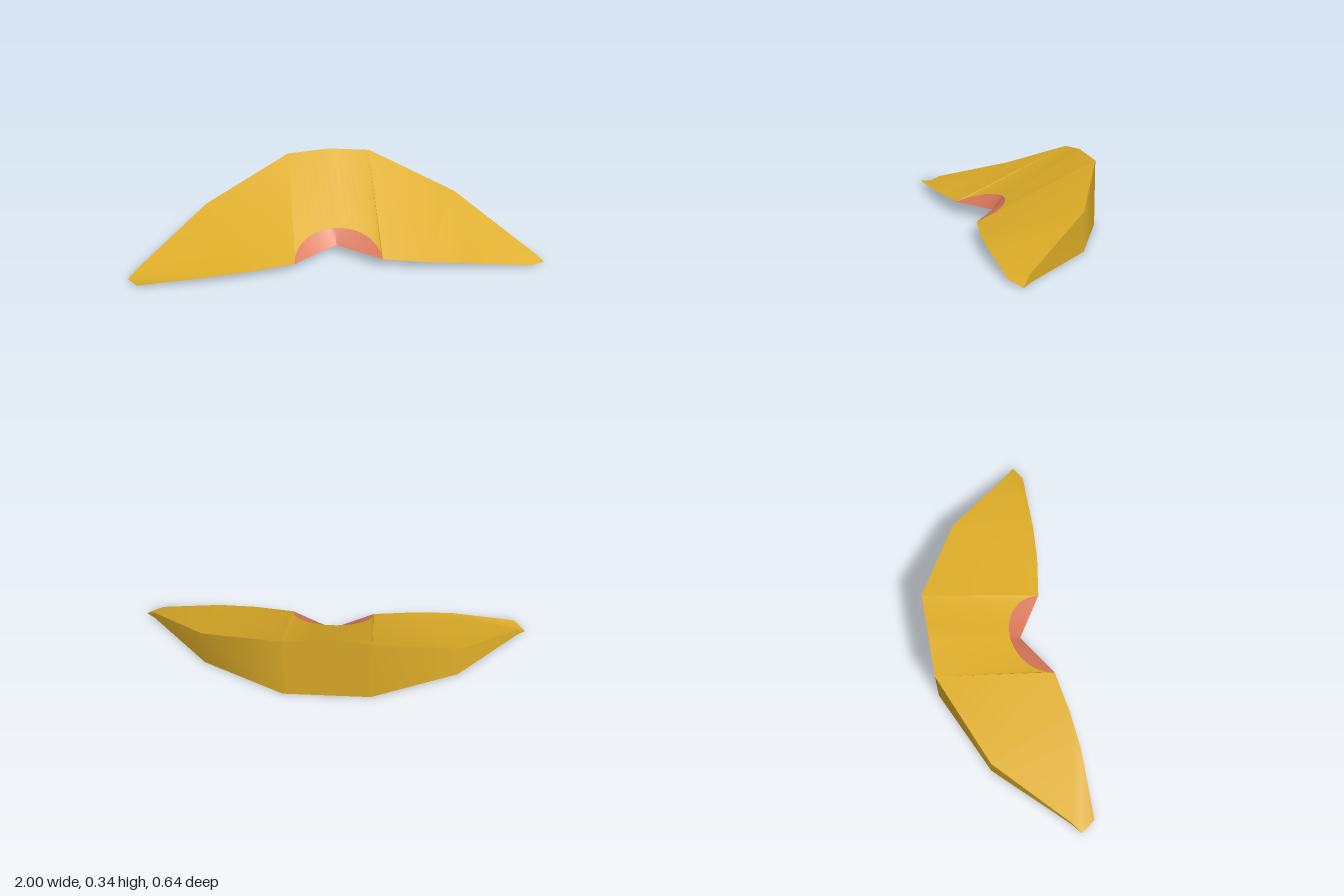
import * as THREE from 'three';
import { toCreasedNormals } from 'three/addons/utils/BufferGeometryUtils.js';

// Cross-sections through one arm, from the tip inward: front edge and top of the back wall
const rightArm = [
  { front: [-0.95, 0.015, 0.31], back: [-1, 0, 0.24] },
  { front: [-0.62, 0.045, 0.315], back: [-0.95, 0.035, 0.2] },
  { front: [-0.43, 0.052, 0.3], back: [-0.63, 0.16, -0.13] },
];
const leftArm = [
  { front: [0.42, 0.052, 0.3], back: [0.62, 0.18, -0.11] },
  { front: [0.61, 0.045, 0.315], back: [0.95, 0.035, 0.24] },
  { front: [0.92, 0.015, 0.32], back: [1, 0, 0.28] },
];

// Middle sections: V-shaped notch in front, rounded rim above it, low ridge behind
function middleSections(steps) {
  const sections = [];
  for (let i = 0; i <= steps; i++) {
    const angle = (Math.PI * i) / steps;
    const x = -0.21 * Math.cos(angle);
    const side = Math.abs(x) / 0.21;
    const arch = Math.sin(angle);
    sections.push({
      front: [x, 0.055 + 0.002 * side, 0.13 + 0.135 * side],
      rim: [x, 0.057 + 0.061 * arch, 0.265 - 0.19 * arch],
      back: [x, 0.335 - 0.02 * side, -0.322],
    });
  }
  sections[0].rim = sections[0].front;
  sections[steps].rim = sections[steps].front;
  return sections;
}

// Surface between two rows of points, leaving out collapsed triangles
function strip(rowA, rowB) {
  const positions = [];
  const addTriangle = (...corners) => {
    const [a, b, c] = corners.map((p) => new THREE.Vector3(...p));
    if (new THREE.Triangle(a, b, c).getArea() > 1e-6) positions.push(...corners.flat());
  };
  for (let i = 0; i < rowA.length - 1; i++) {
    addTriangle(rowA[i], rowA[i + 1], rowB[i]);
    addTriangle(rowA[i + 1], rowB[i + 1], rowB[i]);
  }
  const geometry = new THREE.BufferGeometry();
  geometry.setAttribute('position', new THREE.Float32BufferAttribute(positions, 3));
  return toCreasedNormals(geometry, 0.7);
}

export function createModel() {
  const yellow = new THREE.MeshStandardMaterial({ color: 0xdfae28 });
  yellow.name = 'golden yellow';
  const coral = new THREE.MeshStandardMaterial({ color: 0xd9785a });
  coral.name = 'coral';

  const middle = middleSections(20);
  const sections = [...rightArm, ...middle, ...leftArm];
  const front = sections.map((s) => s.front);
  const rim = sections.map((s) => s.rim ?? s.front);
  const back = sections.map((s) => s.back);
  const base = back.map(([x, , z]) => [x, 0, z]);

  const model = new THREE.Group();
  model.name = 'curvedWedge';
  const add = (name, rowA, rowB, material) => {
    const mesh = new THREE.Mesh(strip(rowA, rowB), material);
    mesh.name = name;
    model.add(mesh);
  };

  add('topSurface', rim, back, yellow);
  add('backWall', back, base, yellow);
  add('underside', base, front, yellow);
  add('notchLining', middle.map((s) => s.front), middle.map((s) => s.rim), coral);
  return model;
}
